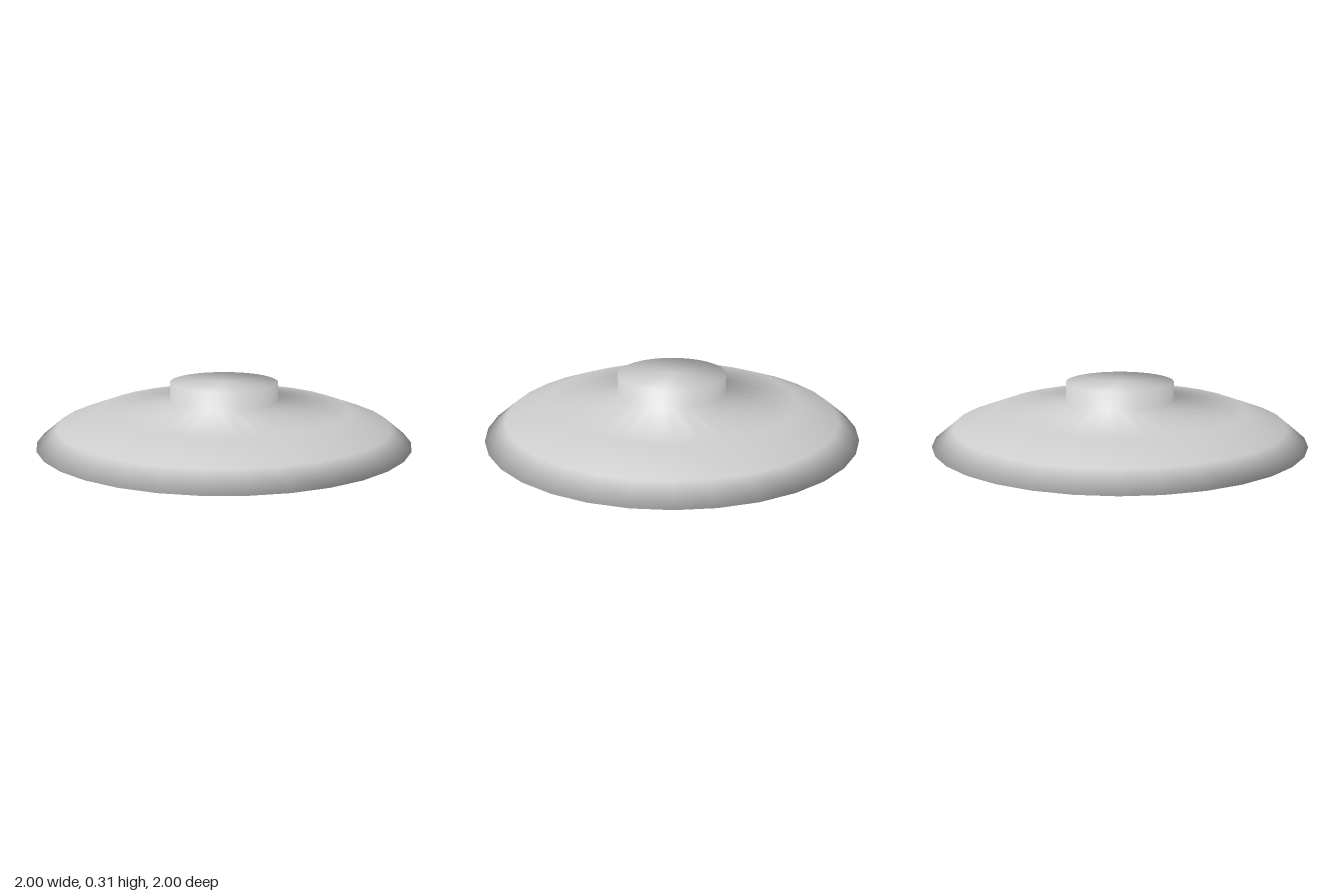
import * as THREE from 'three';

const SEGMENTS = 32;

// Revolve a profile (bottom to top), blending the normals of neighbouring
// bands equally so the shading rolls smoothly over every edge.
function smoothLathe(profile) {
  const points = profile.map(([r, y]) => new THREE.Vector2(r, y));
  const bands = points.slice(1).map((p, i) => {
    const d = p.clone().sub(points[i]).normalize();
    return new THREE.Vector2(d.y, -d.x);
  });
  const normals = points.map((_, i) => {
    const below = bands[Math.max(i - 1, 0)];
    const above = bands[Math.min(i, bands.length - 1)];
    return below.clone().add(above).normalize();
  });

  const geometry = new THREE.LatheGeometry(points, SEGMENTS);
  const attribute = geometry.attributes.normal;
  for (let i = 0; i <= SEGMENTS; i++) {
    const angle = (i / SEGMENTS) * Math.PI * 2;
    normals.forEach((n, j) => {
      attribute.setXYZ(i * points.length + j, n.x * Math.sin(angle), n.y, n.x * Math.cos(angle));
    });
  }
  return geometry;
}

export function createModel() {
  const group = new THREE.Group();
  group.name = 'lid';

  // Flat underside, sloped rim, shallow dome and flat-topped knob in one skin
  const lid = new THREE.Mesh(
    smoothLathe([
      [0, 0],
      [1, 0],
      [0.89, 0.09],
      [0.67, 0.17],
      [0.29, 0.215],
      [0.29, 0.31],
      [0, 0.31],
    ]),
    new THREE.MeshStandardMaterial({ color: 0xcccccc })
  );
  lid.name = 'domeWithKnob';
  group.add(lid);

  return group;
}
